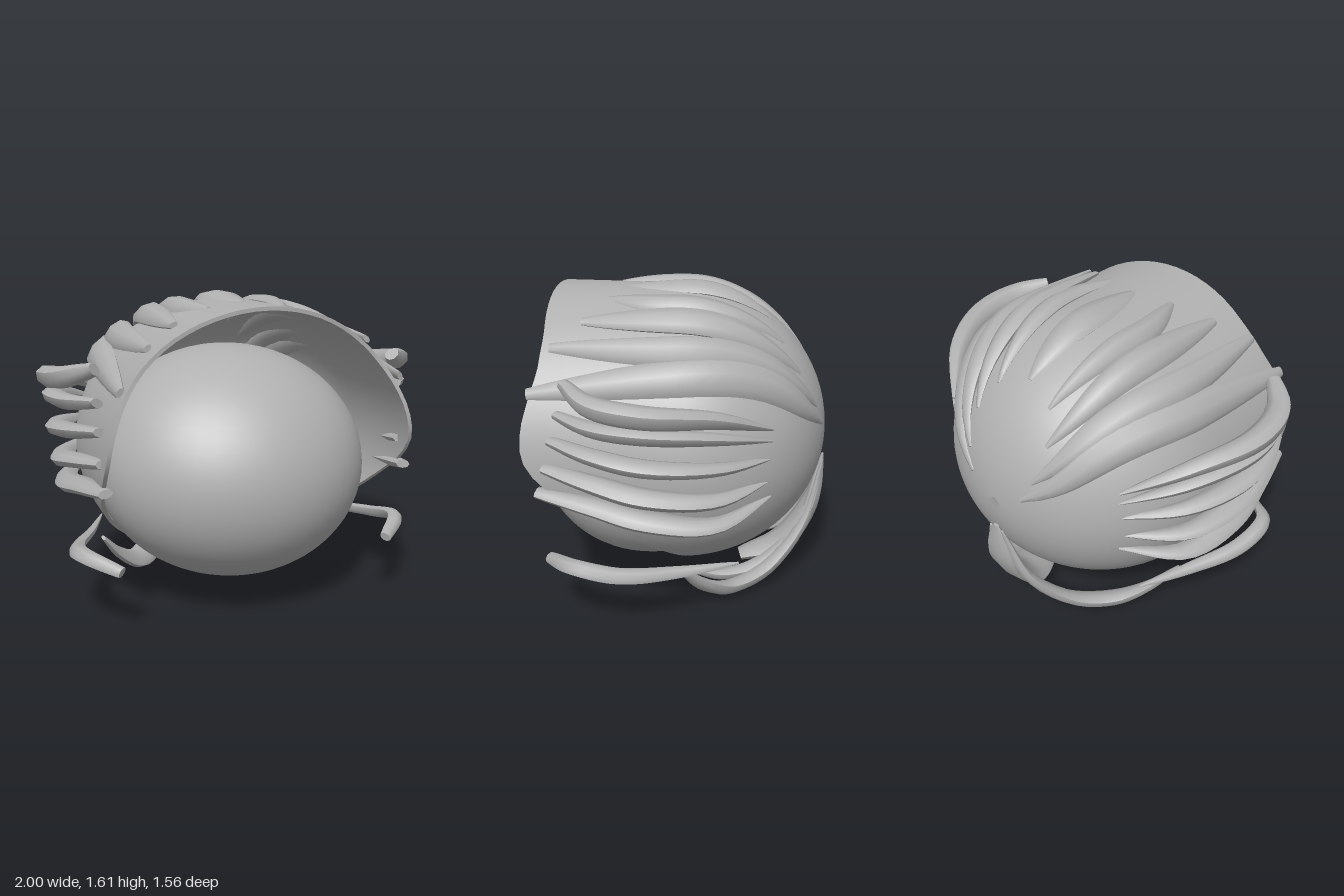
import * as THREE from 'three';
import { toCreasedNormals } from 'three/addons/utils/BufferGeometryUtils.js';

const CY = 0.83, BACK = -0.77;
const V = (x, y, z) => new THREE.Vector3(x, y, z);

// Skin a list of closed rings of equal length
function loft(rings, crease) {
  const n = rings[0].length, pos = [], idx = [];
  rings.forEach(r => r.forEach(p => pos.push(p.x, p.y, p.z)));
  for (let i = 0; i < rings.length - 1; i++) {
    for (let j = 0; j < n; j++) {
      const a = i * n + j, b = i * n + (j + 1) % n;
      idx.push(a, b, a + n, b, b + n, a + n);
    }
  }
  const g = new THREE.BufferGeometry();
  g.setAttribute('position', new THREE.Float32BufferAttribute(pos, 3));
  g.setIndex(idx);
  return toCreasedNormals(g, crease);
}

// Point on the hair shell: angle from the crown, depth z and radial lift
function shellPoint(theta, z, lift = 0) {
  const r = z < 0 ? Math.sqrt(Math.max(0, 1 - (z / BACK) ** 2)) : 1;
  const c = Math.cos(theta), s = Math.sin(theta);
  return V(s * (0.79 * r + lift), CY + c * ((c > 0 ? 0.75 : 0.71) * r + lift), z);
}

// Front rim depth by height: [cosine of angle, z]
const RIM = [[-1, -0.22], [-0.85, -0.1], [-0.7, 0], [-0.48, 0.2], [-0.2, 0.45], [-0.05, 0.59],
  [0.12, 0.67], [0.3, 0.67], [0.5, 0.635], [0.62, 0.61], [0.8, 0.61], [1, 0.65]];
function rimZ(c) {
  let i = 1;
  while (i < RIM.length - 1 && c > RIM[i][0]) i++;
  const [c0, z0] = RIM[i - 1], [c1, z1] = RIM[i];
  return THREE.MathUtils.mapLinear(c, c0, c1, z0, z1);
}

function shellGeometry() {
  const n = 72, m = 22, rings = [];
  const ring = (u, inner) => Array.from({ length: n }, (_, j) => {
    const a = -j / n * Math.PI * 2;
    const z = BACK + (rimZ(Math.cos(a)) - BACK) * u * u;
    const p = shellPoint(a, z);
    if (inner) {
      p.x *= 0.975;
      p.y = CY + (p.y - CY) * 0.975;
      if (z < 0) p.z *= 0.975;
    }
    return p;
  });
  // Outer skin from the small hole at the back to the rim, then back inside
  for (let i = 0; i <= m; i++) rings.push(ring(0.025 + 0.975 * i / m, false));
  for (let i = m; i >= 0; i--) rings.push(ring(0.025 + 0.975 * i / m, true));
  return loft(rings, 0.8);
}

// Tapered lock along a path: half width across the shell, half height away from it
function lockGeometry(points, width, height, end = 0.86) {
  const curve = new THREE.CatmullRomCurve3(points), steps = 22, sides = 8, rings = [];
  for (let i = 0; i <= steps; i++) {
    const t = i / steps, p = curve.getPoint(t), T = curve.getTangent(t);
    const O = V(p.x, p.y - CY, p.z * 0.6);
    O.addScaledVector(T, -O.dot(T)).normalize();
    const S = O.clone().cross(T);
    const k = Math.pow(Math.sin(Math.PI * (0.02 + (end - 0.02) * t)), 0.75);
    const ring = q => Array.from({ length: sides }, (_, j) => {
      const a = j / sides * Math.PI * 2;
      return p.clone().addScaledVector(S, Math.cos(a) * width * q)
        .addScaledVector(O, Math.sin(a) * height * q);
    });
    if (i === 0) rings.push(ring(0));
    rings.push(ring(k));
    if (i === steps) rings.push(ring(0));
  }
  return loft(rings, 0.9);
}

// Path that follows the shell through keys of [angle in degrees, z, lift]
function shellPath(keys) {
  const curve = new THREE.CatmullRomCurve3(keys.map(([d, z, l]) => V(d * Math.PI / 180, z, l)));
  return curve.getPoints(16).map(k => shellPoint(k.x, k.y, k.z));
}

export function createModel() {
  const group = new THREE.Group();
  const grey = new THREE.MeshStandardMaterial({ color: 0xb0b0b0, side: THREE.DoubleSide });
  grey.name = 'grey';
  const add = (name, geometry) => {
    const mesh = new THREE.Mesh(geometry, grey);
    mesh.name = name;
    group.add(mesh);
  };
  const lock = (name, pts, w, h, end) => add(name, lockGeometry(pts, w, h, end));
  const pair = (name, pts, w, h, end) => {
    lock(name + 'Left', pts, w, h, end);
    lock(name + 'Right', pts.map(p => V(-p.x, p.y, p.z)), w, h, end);
  };

  // Head: ellipsoid with the chin drawn forward
  const head = new THREE.SphereGeometry(1, 48, 32);
  head.scale(0.73, 0.605, 0.675);
  const hp = head.attributes.position;
  for (let i = 0; i < hp.count; i++) hp.setZ(i, hp.getZ(i) - 0.11 * hp.getY(i));
  head.translate(0, 0.737, 0.1);
  head.computeVertexNormals();
  add('head', head);

  add('hairShell', shellGeometry());

  // Crown locks lying on the shell, with half widths
  lock('crownLock', shellPath([[0, -0.48, 0], [0, -0.2, 0], [0, 0.05, -0.01], [0, 0.3, -0.01]]), 0.1, 0.045, 0.97);
  const crown = [
    [0.07, [[17, -0.53, 0], [18, -0.2, 0], [18.5, 0.1, 0], [14.5, 0.35, -0.01]]],
    [0.08, [[30, -0.62, 0], [28, -0.3, 0.01], [29, 0.05, 0.02], [30, 0.44, 0.01]]],
    [0.085, [[44, -0.71, 0], [40, -0.45, 0.01], [43, 0.02, 0.035], [43, 0.56, 0.03]]],
    [0.095, [[58, -0.745, 0], [49, -0.5, 0.01], [53, 0, 0.035], [60, 0.64, 0.03]]],
  ];
  crown.forEach(([w, keys], i) => pair('crownLock' + (i + 1), shellPath(keys), w, 0.05, 0.94));

  // Side locks standing off the shell: heights back to front, greatest x, front z
  const side = [
    [[1.05, 1.17, 1.22, 1.25, 1.3], 0.93, 0.44],
    [[0.99, 1.08, 1.12, 1.13, 1.15], 0.905, 0.48],
    [[0.9, 0.93, 0.96, 0.99, 1.02], 0.895, 0.52],
    [[0.79, 0.77, 0.8, 0.84, 0.88], 0.875, 0.56],
    [[0.7, 0.64, 0.67, 0.71, 0.75], 0.855, 0.6],
  ];
  side.forEach(([ys, mx, tip], i) => {
    const xs = [0.58, 0.8, mx, mx - 0.03, 0.78], zs = [-0.5, -0.25, 0.06, 0.3, tip];
    pair('sideLock' + (i + 1), ys.map((y, k) => V(xs[k], y, zs[k])), i ? 0.042 : 0.055, 0.07);
  });

  // Loose lock below each ear, hooking inwards at the front
  pair('jawLock', [V(0.61, 0.33, -0.36), V(0.73, 0.33, -0.08), V(0.85, 0.36, 0.2),
    V(0.86, 0.4, 0.42), V(0.71, 0.35, 0.58)], 0.032, 0.045, 0.8);

  // Locks hanging from the back and curling under
  pair('napeLock', [V(0.04, 0.66, -0.77), V(0.12, 0.33, -0.69), V(0.26, 0.1, -0.5),
    V(0.41, 0.055, -0.31), V(0.54, 0.14, -0.19), V(0.66, 0.29, -0.08)], 0.075, 0.04, 0.95);
  lock('napeLockShort', [V(0.03, 0.62, -0.75), V(0.1, 0.3, -0.67), V(0.2, 0.1, -0.48),
    V(0.3, 0.06, -0.27), V(0.36, 0.11, -0.08)], 0.065, 0.04, 0.95);
  lock('napePetal', [V(0, 0.68, -0.77), V(0.02, 0.4, -0.72), V(0.06, 0.16, -0.56),
    V(0.11, 0.08, -0.34)], 0.14, 0.05, 0.86);

  return group;
}
